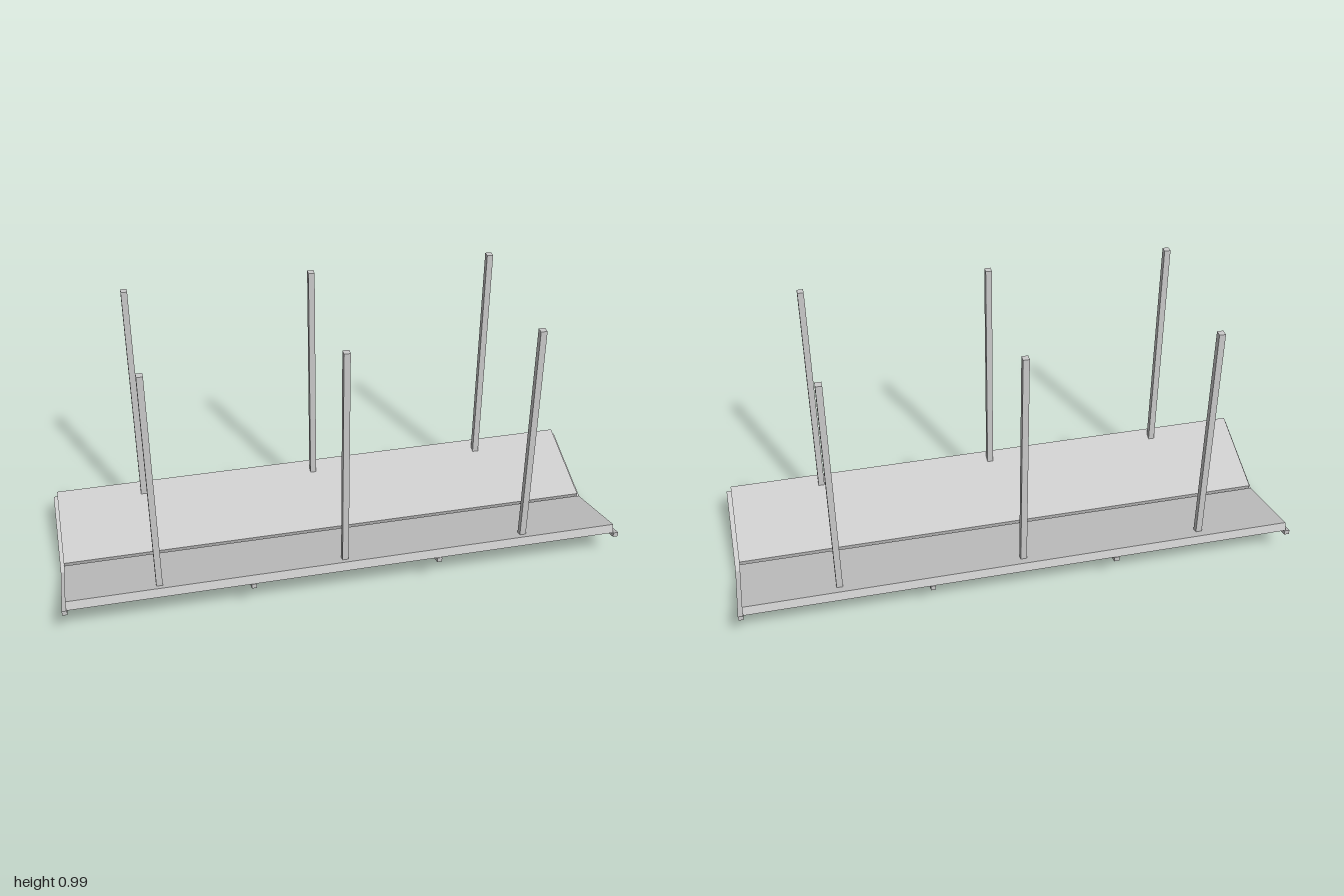
import * as THREE from 'three';

const material = new THREE.MeshStandardMaterial({ color: 0xcccccc, flatShading: true });

// Extrude a [z, y] cross-section along x, from x0 to x1
function extrudeAlongX(name, profile, x0, x1) {
  const shape = new THREE.Shape(profile.map(([z, y]) => new THREE.Vector2(-z, y)));
  const geometry = new THREE.ExtrudeGeometry(shape, { depth: x1 - x0, bevelEnabled: false });
  geometry.rotateY(Math.PI / 2).translate(x0, 0, 0);
  const mesh = new THREE.Mesh(geometry, material);
  mesh.name = name;
  return mesh;
}

export function createModel() {
  const model = new THREE.Group();
  model.name = 'troughOnHangers';

  // Two sloping slabs that form an open V
  const frontSlab = [[0.016, 0.025], [0.008, 0.056], [0.321, 0.157], [0.331, 0.126]];
  const backSlab = [[-0.016, 0.025], [-0.006, 0.056], [-0.321, 0.148], [-0.331, 0.118]];
  model.add(extrudeAlongX('frontSlab', frontSlab, -0.985, 0.982));
  model.add(extrudeAlongX('backSlab', backSlab, -0.985, 0.982));

  // V-shaped ribs under the slabs
  const rib = [[0, 0], [0.334, 0.109], [0.334, 0.127], [0, 0.02], [-0.333, 0.118], [-0.333, 0.1]];
  for (const x of [-0.991, -0.342, 0.325, 0.991]) {
    model.add(extrudeAlongX('rib', rib, x - 0.009, x + 0.009));
  }

  // Upright square hangers, three on each slab
  const bottom = 0.125, top = 0.99;
  for (const x of [-0.664, -0.01, 0.645]) {
    for (const z of [0.286, -0.275]) {
      const hanger = new THREE.Mesh(new THREE.BoxGeometry(0.022, top - bottom, 0.024), material);
      hanger.name = 'hanger';
      hanger.position.set(x, (top + bottom) / 2, z);
      model.add(hanger);
    }
  }
  return model;
}
